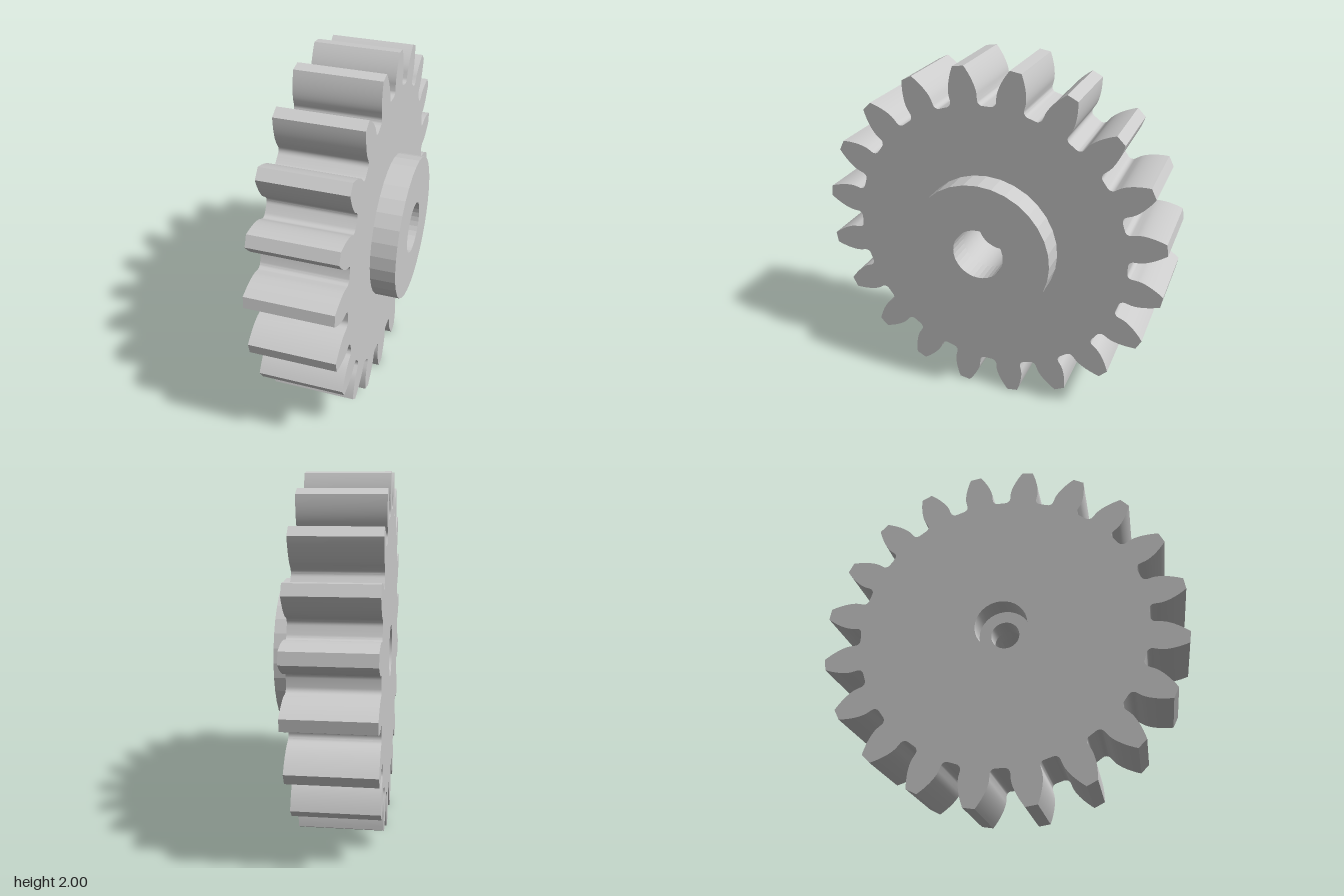
import * as THREE from 'three';
import { toCreasedNormals } from 'three/addons/utils/BufferGeometryUtils.js';

const TEETH = 20, TIP = 1.008, ROOT = 0.80, BORE = 0.147, SEGMENTS = 32;
const PITCH = TIP * TEETH / (TEETH + 2);
const BASE = PITCH * Math.cos(THREE.MathUtils.degToRad(20));

// Involute function of the pressure angle at radius r
function involute(r) {
  const a = Math.acos(Math.min(1, BASE / r));
  return Math.tan(a) - a;
}

// Half of one tooth, from root to tip, as [radius, angle from tooth centre]
function flankPoints() {
  const halfAngle = r => Math.PI / (2 * TEETH) + involute(PITCH) - involute(r);
  const pts = [], f = 0.03, c = ROOT + f;
  const delta = Math.asin(f / c), centre = halfAngle(BASE) + delta;
  // Root fillet
  for (let i = 0; i <= 6; i++) {
    const t = (Math.PI / 2 - delta) * i / 6;
    const x = c - f * Math.cos(t), y = f * Math.sin(t);
    pts.push([Math.hypot(x, y), centre - Math.atan2(y, x)]);
  }
  // Involute flank
  for (let i = 0; i <= 8; i++) {
    const r = BASE + (TIP - BASE) * i / 8;
    pts.push([r, halfAngle(r)]);
  }
  return pts;
}

function gearShape() {
  const flank = flankPoints(), pts = [];
  for (let k = 0; k < TEETH; k++) {
    const mid = (k + 0.5) * 2 * Math.PI / TEETH;
    const add = (r, a) => pts.push(new THREE.Vector2(r * Math.cos(a), r * Math.sin(a)));
    flank.forEach(([r, a]) => add(r, mid - a));
    [...flank].reverse().forEach(([r, a]) => add(r, mid + a));
  }
  const shape = new THREE.Shape(pts), hole = [];
  for (let i = 0; i < SEGMENTS; i++) {
    const a = -i * 2 * Math.PI / SEGMENTS;
    hole.push(new THREE.Vector2(BORE * Math.cos(a), BORE * Math.sin(a)));
  }
  shape.holes.push(new THREE.Path(hole));
  return shape;
}

// Ring turned around the x axis from [radius, x] points
function turned(profile) {
  const g = new THREE.LatheGeometry(profile.map(p => new THREE.Vector2(...p)), SEGMENTS);
  g.rotateZ(-Math.PI / 2);
  return g;
}

export function createModel() {
  const group = new THREE.Group();
  group.name = 'spurGear';
  const material = new THREE.MeshStandardMaterial({ color: 0xcccccc });
  const addPart = (name, geometry, crease) => {
    const mesh = new THREE.Mesh(toCreasedNormals(geometry, crease), material);
    mesh.name = name;
    mesh.position.y = 1;
    group.add(mesh);
  };

  // Toothed wheel, extruded along x
  const wheel = new THREE.ExtrudeGeometry(gearShape(), { depth: 0.46, bevelEnabled: false });
  wheel.rotateY(Math.PI / 2);
  wheel.translate(-0.30, 0, 0);
  addPart('toothedWheel', wheel, 0.45);

  // Raised hub on one side, open where it meets the wheel
  addPart('hub', turned([[0.41, 0.16], [0.41, 0.30], [BORE, 0.30], [BORE, 0.16]]), 0.1);

  // Narrow collar inside the bore
  addPart('boreCollar', turned([[BORE, -0.05], [0.08, -0.05], [0.08, -0.17], [BORE, -0.17]]), 0.45);

  return group;
}
